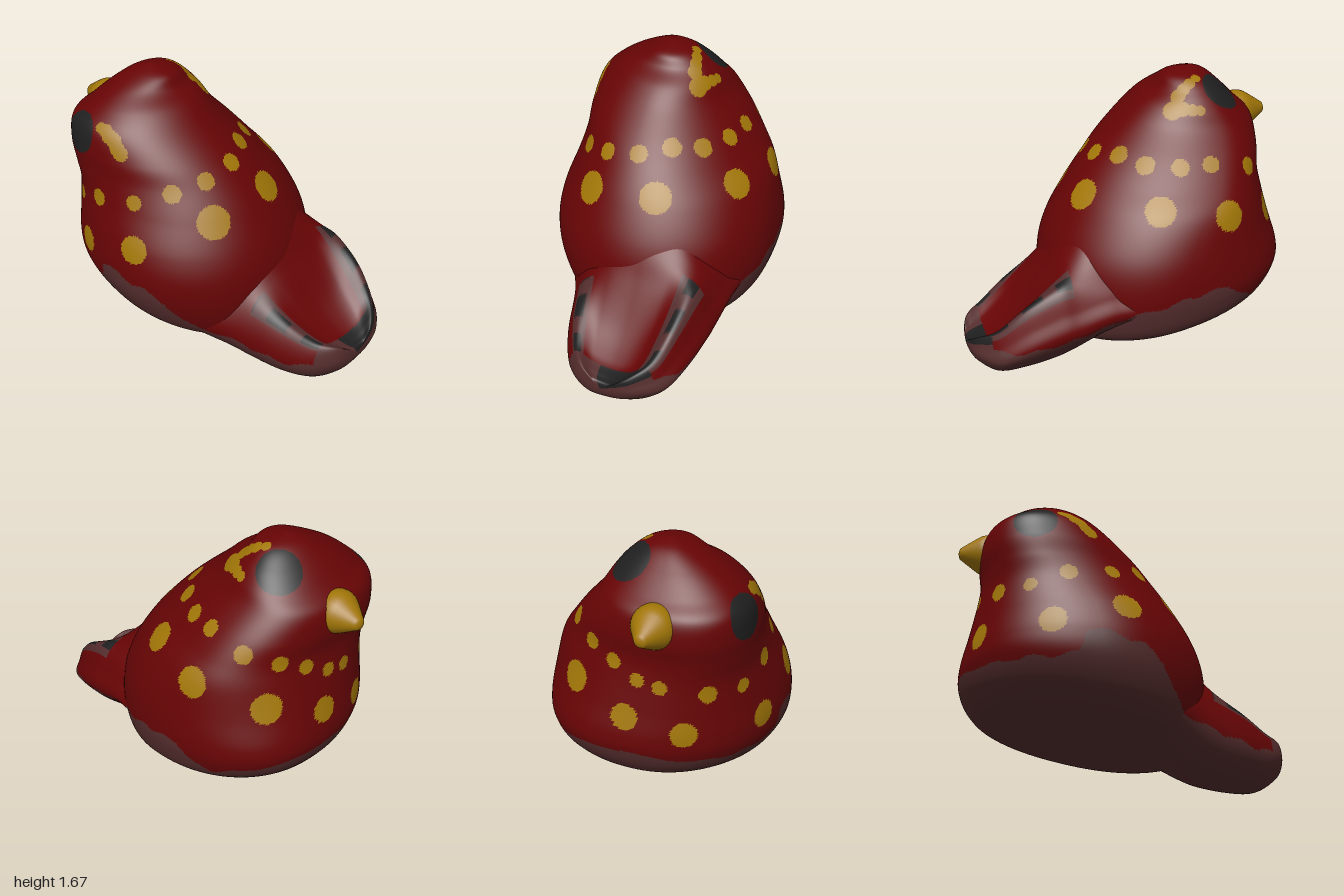
import * as THREE from 'three';

const mat = (name, color) => Object.assign(new THREE.MeshStandardMaterial({ color }), { name });
const RED = 0, BROWN = 1, YELLOW = 2, DARK = 3;

// Catmull-Rom through rows of numbers; t runs 0..1
function spline(rows, t, closed = false) {
  const n = rows.length, s = t * (closed ? n : n - 1);
  const i = closed ? Math.floor(s) : Math.min(Math.floor(s), n - 2), f = s - i;
  const at = k => rows[closed ? (k + n) % n : Math.max(0, Math.min(n - 1, k))];
  const [a, b, c, d] = [at(i - 1), at(i), at(i + 1), at(i + 2)];
  return b.map((q, k) => q + 0.5 * f * (c[k] - a[k] + f * (2 * a[k] - 5 * q + 4 * c[k] - d[k] + f * (3 * (q - c[k]) + d[k] - a[k]))));
}

// Piecewise linear lookup in [x, value] pairs
function lookup(pairs, x) {
  for (let i = 1; i < pairs.length; i++) {
    const [x0, y0] = pairs[i - 1], [x1, y1] = pairs[i];
    if (x <= x1) return y0 + (y1 - y0) * Math.max(0, (x - x0) / (x1 - x0));
  }
  return pairs[pairs.length - 1][1];
}

// Closed rings joined in a tube; ring(v) returns a function of u
function loft(ring, around, rows) {
  const pos = [], index = [];
  for (let i = 0; i <= rows; i++) {
    const point = ring(i / rows);
    for (let j = 0; j < around; j++) pos.push(...point(j / around));
  }
  for (let i = 0; i < rows; i++) for (let j = 0; j < around; j++) {
    const a = i * around + j, b = i * around + (j + 1) % around;
    index.push(a, b, b + around, a, b + around, a + around);
  }
  const g = new THREE.BufferGeometry();
  g.setAttribute('position', new THREE.Float32BufferAttribute(pos, 3));
  g.setIndex(index);
  g.computeVertexNormals();
  return g;
}

// Sort triangles into material groups by colourOf(centre, u)
function paint(g, around, colourOf) {
  const bins = [[], [], [], []], ix = g.index.array, p = g.attributes.position;
  const c = new THREE.Vector3(), v = new THREE.Vector3();
  for (let t = 0; t < ix.length; t += 3) {
    c.set(0, 0, 0);
    for (let k = 0; k < 3; k++) c.add(v.fromBufferAttribute(p, ix[t + k]));
    c.divideScalar(3);
    const u = ((Math.floor(t / 6) % around) + 0.5) / around;
    bins[colourOf(c, u)].push(ix[t], ix[t + 1], ix[t + 2]);
  }
  g.setIndex(bins.flat());
  let start = 0;
  bins.forEach((b, m) => { g.addGroup(start, b.length, m); start += b.length; });
}

// Upper edge of the unpainted clay, on the +z and -z flanks
const edgePlus = [[-0.95, 0.56], [-0.78, 0.5], [-0.6, 0.49], [-0.4, 0.48], [-0.31, 0.5], [-0.28, 0.62], [-0.22, 0.64],
  [-0.1, 0.6], [0.05, 0.57], [0.15, 0.5], [0.22, 0.38], [0.3, 0.28], [0.45, 0.25], [0.6, 0.21], [0.75, 0.18], [0.86, 0.19]];
const edgeMinus = [[-0.95, 0.55], [-0.88, 0.54], [-0.65, 0.46], [-0.55, 0.5], [-0.45, 0.6], [-0.2, 0.57],
  [0.2, 0.44], [0.5, 0.35], [0.9, 0.29]];
const clayEdge = c => lookup(c.z > 0 ? edgePlus : edgeMinus, c.x) + 0.01 * Math.sin(c.x * 31);

// Body rings: frontX, frontY, backX, backY, +z side, -z side, widest x, front z, back z
const bodyRings = [
  [-0.25, 0.225, -0.25, 0.225, 0, 0, -0.25, 0, 0],
  [-0.55, 0.28, 0.1, 0.18, 0.25, -0.28, -0.2, 0, 0],
  [-0.8, 0.345, 0.35, 0.15, 0.43, -0.49, -0.2, -0.03, 0],
  [-0.9, 0.44, 0.45, 0.22, 0.58, -0.63, -0.2, -0.07, 0],
  [-0.95, 0.56, 0.49, 0.4, 0.67, -0.685, -0.2, -0.1, 0],
  [-0.95, 0.66, 0.49, 0.6, 0.69, -0.69, -0.2, -0.09, 0],
  [-0.91, 0.82, 0.44, 0.78, 0.665, -0.66, -0.23, -0.02, 0],
  [-0.87, 1.0, 0.33, 0.98, 0.615, -0.59, -0.34, 0.06, 0.02],
  [-0.855, 1.12, 0.21, 1.14, 0.6, -0.49, -0.45, 0.12, 0.05],
  [-0.87, 1.25, 0.1, 1.26, 0.6, -0.39, -0.49, 0.15, 0.08],
  [-0.85, 1.38, -0.05, 1.4, 0.575, -0.27, -0.52, 0.15, 0.1],
  [-0.77, 1.46, -0.16, 1.505, 0.49, -0.21, -0.51, 0.15, 0.1],
  [-0.67, 1.56, -0.26, 1.57, 0.37, -0.14, -0.48, 0.14, 0.1],
  [-0.57, 1.64, -0.32, 1.64, 0.22, -0.04, -0.46, 0.12, 0.1],
  [-0.46, 1.675, -0.46, 1.675, 0.11, 0.11, -0.46, 0.11, 0.11],
];
function bodyRing(v) {
  const [xF, yF, xB, yB, zP, zN, xW, zF, zB] = spline(bodyRings, v);
  return u => {
    const c = Math.cos(u * 2 * Math.PI), s = Math.sin(u * 2 * Math.PI);
    const e = c > 0 ? 0.9 : 1; // breast a little squarer than the back
    const x = xW + ((c > 0 ? xF : xB) - xW) * Math.abs(c) ** e, zc = c > 0 ? zF : zB;
    const f = Math.abs(xB - xF) < 1e-4 ? 0 : (x - xF) / (xB - xF);
    return [x, yF + (yB - yF) * f, zc + ((s > 0 ? zP : zN) - zc) * Math.abs(s) ** e];
  };
}

// Painted dots: x, y, z, radius (snapped to the surface)
const largeDots = [
  [-0.82, 0.7, 0.32, 0.076], [-0.45, 0.69, 0.64, 0.08], [-0.05, 0.81, 0.64, 0.086], [0.25, 0.98, 0.29, 0.1],
  [0.28, 1.06, -0.15, 0.095], [-0.08, 1.08, -0.52, 0.09], [-0.48, 0.99, -0.55, 0.09], [-0.82, 0.89, -0.33, 0.09],
  [-0.91, 0.78, 0.02, 0.078]];
const smallDots = [
  [-0.74, 0.93, 0.43, 0.052], [-0.57, 0.93, 0.54, 0.042], [-0.37, 1.0, 0.59, 0.052], [-0.13, 1.05, 0.55, 0.047],
  [0.05, 1.14, 0.42, 0.055], [0.13, 1.17, 0.23, 0.053], [0.13, 1.22, 0.03, 0.055], [0.06, 1.28, -0.15, 0.058],
  [-0.05, 1.27, -0.31, 0.058], [-0.25, 1.24, -0.38, 0.053], [-0.43, 1.23, -0.38, 0.05], [-0.65, 1.18, -0.34, 0.053],
  [-0.78, 1.13, -0.21, 0.048], [-0.85, 1.07, -0.07, 0.046], [-0.87, 1.0, 0.07, 0.042], [-0.86, 0.98, 0.2, 0.042]];
const browDots = [
  [-0.41, 1.43, 0.54, 0.033], [-0.375, 1.42, 0.54, 0.04], [-0.34, 1.4, 0.54, 0.046], [-0.305, 1.375, 0.54, 0.048],
  [-0.27, 1.345, 0.54, 0.048], [-0.25, 1.325, 0.54, 0.046],
  [-0.3, 1.47, -0.12, 0.058], [-0.35, 1.48, -0.14, 0.045], [-0.4, 1.48, -0.16, 0.036], [-0.44, 1.48, -0.17, 0.03],
  [-0.34, 1.55, -0.09, 0.045], [-0.38, 1.58, -0.07, 0.039], [-0.42, 1.59, -0.05, 0.035], [-0.46, 1.6, -0.03, 0.03]];
const eyes = [[-0.57, 1.355, 0.57, 0.128], [-0.6, 1.55, -0.07, 0.128]];

function createBody(materials) {
  const around = 320, g = loft(bodyRing, around, 190), p = g.attributes.position, v = new THREE.Vector3();
  const snap = colour => ([x, y, z, r]) => {
    const target = new THREE.Vector3(x, y, z), at = new THREE.Vector3();
    let best = Infinity;
    for (let i = 0; i < p.count; i++) {
      const d = v.fromBufferAttribute(p, i).distanceToSquared(target);
      if (d < best) { best = d; at.copy(v); }
    }
    return { at, r, colour };
  };
  const dots = [...eyes.map(snap(DARK)), ...[...largeDots, ...smallDots, ...browDots].map(snap(YELLOW))];
  paint(g, around, c => {
    const dot = dots.find(d => c.distanceTo(d.at) < d.r);
    return dot ? dot.colour : c.y < clayEdge(c) ? BROWN : RED;
  });
  return new THREE.Mesh(g, materials);
}

// Tail stations: x, -z side, +z side, bottom, -z rim, +z rim, scoop floor
const tailStations = [
  [-0.2, -0.5, 0.45, 0.28, 0.5, 0.5, 0.6],
  [0, -0.605, 0.53, 0.2, 0.66, 0.6, 0.9],
  [0.2, -0.61, 0.47, 0.15, 0.7, 0.56, 0.98],
  [0.4, -0.605, 0.345, 0.06, 0.67, 0.52, 0.78],
  [0.52, -0.6, 0.29, 0.02, 0.645, 0.48, 0.61],
  [0.7, -0.57, 0.22, 0.003, 0.54, 0.4, 0.39],
  [0.85, -0.51, 0.13, 0.02, 0.4, 0.32, 0.28],
  [0.95, -0.4, 0.03, 0.09, 0.325, 0.295, 0.25],
  [0.99, -0.3, -0.06, 0.15, 0.27, 0.26, 0.24],
  [1.0, -0.17, -0.17, 0.2, 0.2, 0.2, 0.2],
];
function tailRing(v) {
  const [x, zN, zP, yB, rN, rP, fl] = spline(tailStations, v), mix = (a, b, f) => a + (b - a) * f;
  const section = [
    [0, mix(yB, rN, 0.52)], [0.035, mix(yB, rN, 0.78)], [0.12, rN], [0.3, mix(fl, rN, 0.25)], [0.5, fl],
    [0.72, mix(fl, rP, 0.2)], [0.91, rP], [1, mix(yB, rP, 0.5)], [0.9, mix(yB, rP, 0.14)], [0.68, yB],
    [0.25, mix(yB, rN, 0.16)],
  ];
  return u => {
    const [f, y] = spline(section, u, true);
    return [x, y, mix(zN, zP, f)];
  };
}
function createTail(materials) {
  const around = 132, g = loft(tailRing, around, 96);
  paint(g, around, (c, u) => {
    const k = u * 11;
    if (c.x > 0.89) return k > 1.3 && (k < 4.6 || c.y > 0.31) && k < 6 ? DARK : BROWN;
    // chipped rims with dark dashes
    const nearRim = k > 5.5 && k < 6.25, farRim = k > 1.5 && k < 2.6;
    if ((nearRim && c.x > 0.51) || (farRim && c.x > 0.43)) {
      const middle = Math.abs(k - (farRim ? 2.1 : 5.9)) < 0.24;
      return middle && (c.x * 5) % 1 < 0.6 ? DARK : BROWN;
    }
    if (k > 1 && k < 6.6) return RED;
    return c.y < clayEdge(c) ? BROWN : RED;
  });
  return new THREE.Mesh(g, materials);
}

export function createModel() {
  const materials = [mat('dark red glaze', 0x670405), mat('brown clay', 0x552d2d),
    mat('ochre yellow', 0xa27708), mat('charcoal', 0x1f1f1f)];
  const bird = new THREE.Group();
  bird.name = 'bird';
  const body = createBody(materials);
  body.name = 'body';
  const tail = createTail(materials);
  tail.name = 'tail';

  // Rounded beak pointing to -x
  const profile = [[0.11, 0.74], [0.125, 0.81], [0.118, 0.86], [0.095, 0.9], [0.068, 0.94], [0.047, 0.97], [0.03, 0.992], [0, 1]];
  const curve = new THREE.SplineCurve(profile.map(q => new THREE.Vector2(...q)));
  const pts = curve.getPoints(20);
  pts[20].x = 0;
  const beak = new THREE.Mesh(new THREE.LatheGeometry(pts, 28), materials[YELLOW]);
  beak.name = 'beak';
  beak.rotation.z = Math.PI / 2;
  beak.position.set(0, 1.325, 0.16);
  bird.add(body, tail, beak);
  return bird;
}
